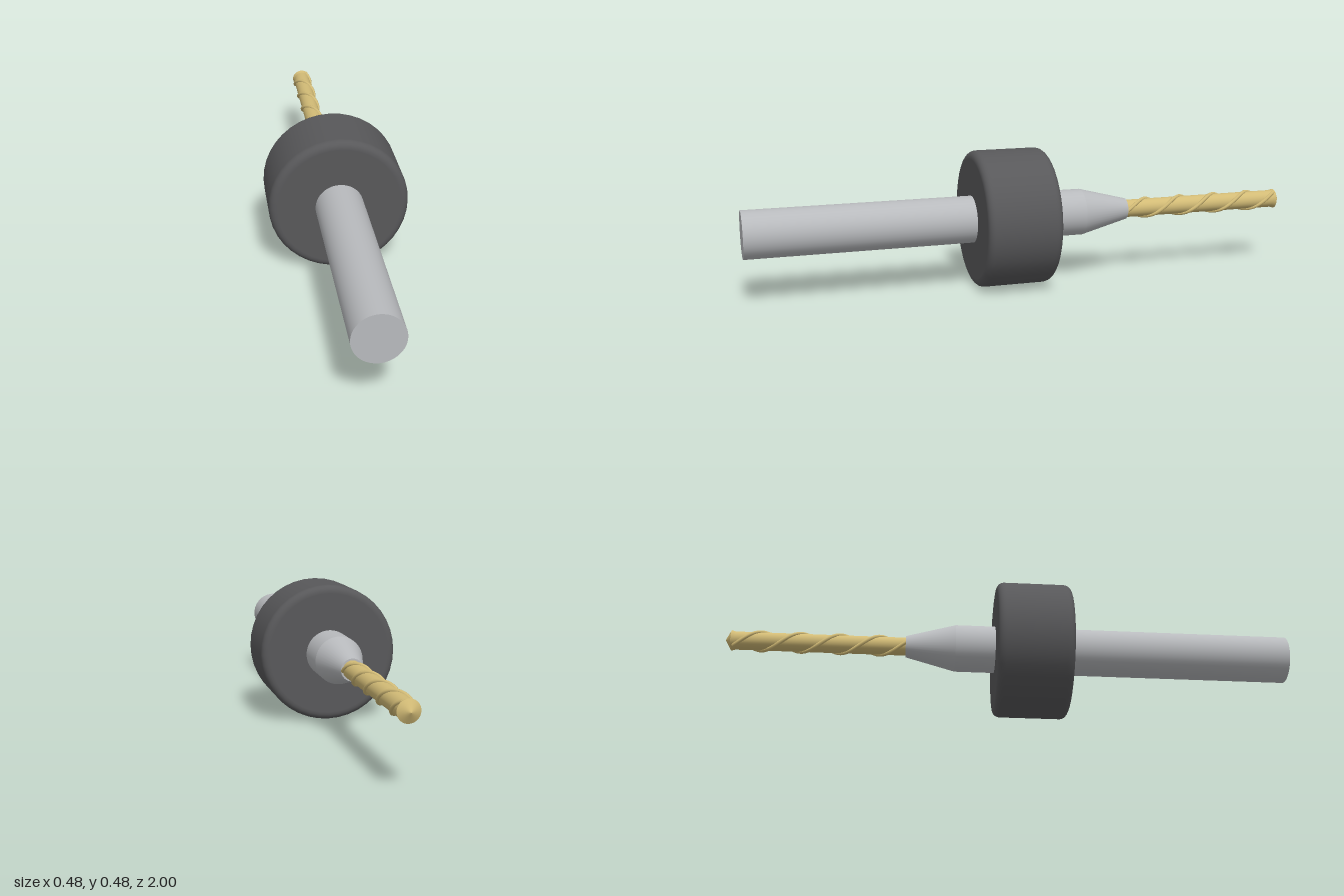
import * as THREE from 'three';

const AXIS_Y = 0.242;

export function createModel() {
  const steel = new THREE.MeshStandardMaterial({ color: 0xb8babd });
  steel.name = 'steel';
  const rubber = new THREE.MeshStandardMaterial({ color: 0x58585a });
  rubber.name = 'darkCollar';
  const gold = new THREE.MeshStandardMaterial({ color: 0xd2bb76 });
  gold.name = 'goldCoating';

  const model = new THREE.Group();
  model.name = 'drillBit';

  const add = (name, geometry, material) => {
    const mesh = new THREE.Mesh(geometry, material);
    mesh.name = name;
    mesh.position.y = AXIS_Y;
    model.add(mesh);
  };

  // Round section along z, from the front end to the back end
  const rod = (name, zFront, zBack, rFront, rBack, material) => {
    const g = new THREE.CylinderGeometry(rFront, rBack, zFront - zBack, 40);
    g.rotateX(Math.PI / 2).translate(0, 0, (zFront + zBack) / 2);
    add(name, g, material);
  };

  // Shank and its taper
  rod('shank', 1, -0.195, 0.083, 0.083, steel);
  rod('taper', -0.195, -0.37, 0.083, 0.038, steel);

  // Depth collar with rounded rims
  const R = 0.241, fillet = 0.025, zBack = -0.055, zFront = 0.209;
  const profile = [new THREE.Vector2(0.07, zBack), new THREE.Vector2(R - fillet - 0.003, zBack)];
  const rim = (z, start) => {
    for (let i = 0; i <= 6; i++) {
      const a = start + (i / 6) * Math.PI / 2;
      profile.push(new THREE.Vector2(R - fillet + fillet * Math.cos(a), z + fillet * Math.sin(a)));
    }
  };
  rim(zBack + fillet, -Math.PI / 2);
  profile.push(new THREE.Vector2(R, zBack + fillet + 0.003), new THREE.Vector2(R, zFront - fillet - 0.003));
  rim(zFront - fillet, 0);
  profile.push(new THREE.Vector2(R - fillet - 0.003, zFront), new THREE.Vector2(0.07, zFront));
  add('collar', new THREE.LatheGeometry(profile, 40).rotateX(Math.PI / 2), rubber);

  // Cutting core and point
  rod('core', -0.365, -0.97, 0.032, 0.032, gold);
  rod('tipFlare', -0.962, -0.979, 0.031, 0.036, gold);
  rod('tipPoint', -0.979, -1, 0.036, 0, gold);

  // Two opposite spiral ridges
  const pitch = 0.277, zStart = -0.37, zEnd = -0.972, zPhase = -0.512;
  for (const side of [0, Math.PI]) {
    const points = [];
    for (let i = 0; i <= 60; i++) {
      const z = zStart + (zEnd - zStart) * i / 60;
      const a = side + (zPhase - z) / pitch * Math.PI * 2;
      points.push(new THREE.Vector3(0.032 * Math.cos(a), 0.032 * Math.sin(a), z));
    }
    const curve = new THREE.CatmullRomCurve3(points);
    add(side ? 'spiralRidgeB' : 'spiralRidgeA', new THREE.TubeGeometry(curve, 140, 0.007, 8), gold);
  }
  return model;
}
